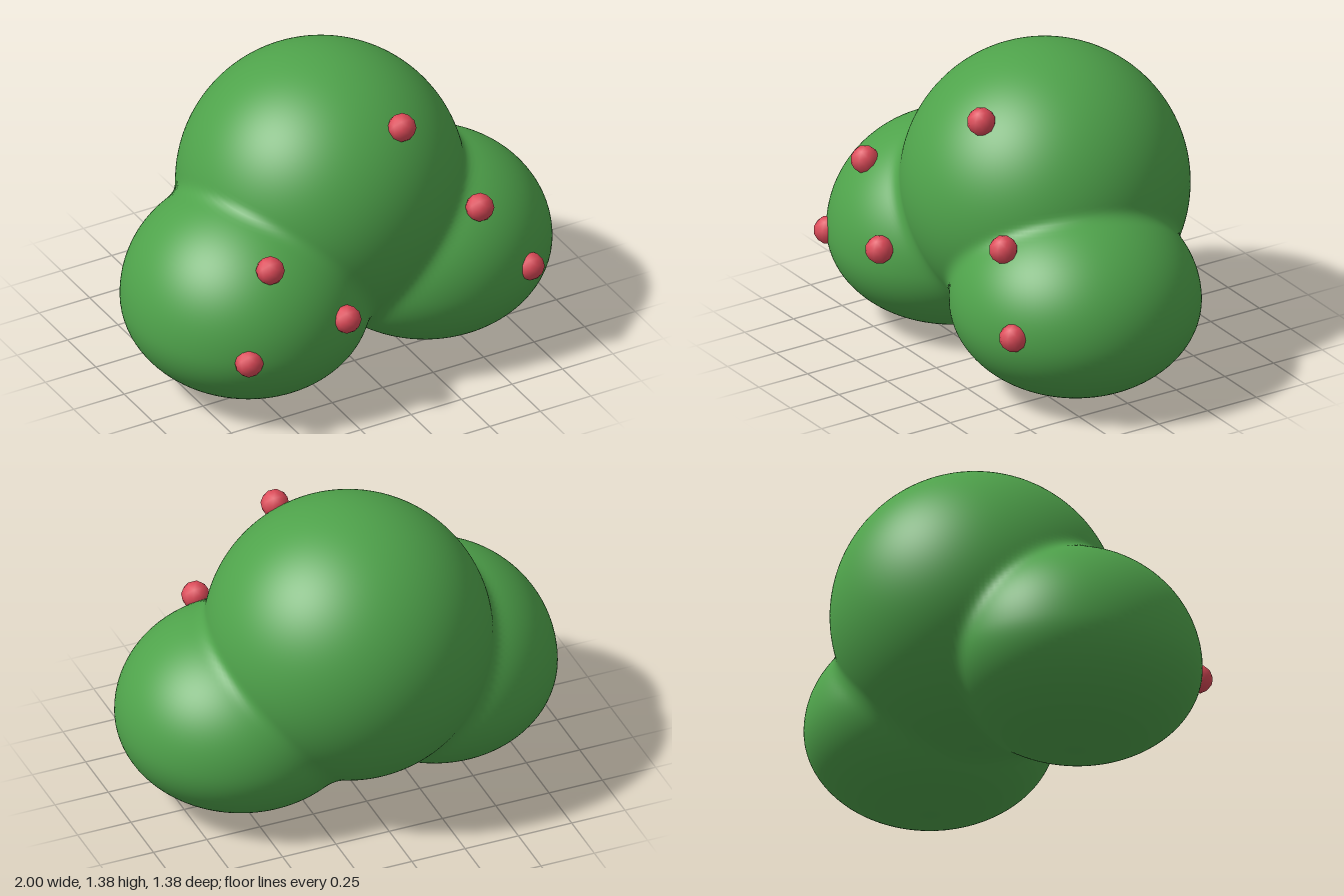
import * as THREE from 'three';
import { mergeVertices } from 'three/addons/utils/BufferGeometryUtils.js';

// Lobes: centre, radii (x, y above centre, y below centre, z)
const LOBES = [
  { c: [0.005, 0.75, -0.055], r: [0.63, 0.63, 0.63, 0.63] },
  { c: [-0.46, 0.40, 0.11], r: [0.54, 0.52, 0.40, 0.56] },
  { c: [0.45, 0.40, 0.075], r: [0.55, 0.47, 0.40, 0.545] },
];

// Rounded union of the lobes: negative inside, positive outside
function field(p) {
  const k = 0.04;
  let d = Infinity;
  for (const { c, r } of LOBES) {
    const y = p.y - c[1];
    const e = (Math.hypot((p.x - c[0]) / r[0], y / (y > 0 ? r[1] : r[2]), (p.z - c[2]) / r[3]) - 1) * 0.55;
    if (d === Infinity) { d = e; continue; }
    const h = Math.max(k - Math.abs(d - e), 0) / k;
    d = Math.min(d, e) - h * h * k * 0.25;
  }
  return d;
}

function weld(geometry) {
  geometry.deleteAttribute('uv');
  geometry.deleteAttribute('normal');
  const merged = mergeVertices(geometry, 1e-5);
  merged.computeVertexNormals();
  return merged;
}

// Push the points of a sphere outward until they meet the union surface
function foliageGeometry() {
  const geometry = new THREE.SphereGeometry(1, 192, 128);
  const origin = new THREE.Vector3(0, 0.49, 0.08);
  const pos = geometry.attributes.position;
  const dir = new THREE.Vector3(), p = new THREE.Vector3();
  for (let i = 0; i < pos.count; i++) {
    dir.fromBufferAttribute(pos, i).normalize();
    let lo = 0, hi = 2;
    for (let n = 0; n < 26; n++) {
      const mid = (lo + hi) / 2;
      p.copy(origin).addScaledVector(dir, mid);
      if (field(p) < 0) lo = mid; else hi = mid;
    }
    p.copy(origin).addScaledVector(dir, lo);
    pos.setXYZ(i, p.x, p.y, p.z);
  }
  return weld(geometry);
}

export function createModel() {
  const group = new THREE.Group();
  group.name = 'berryBush';
  const leafGreen = new THREE.MeshStandardMaterial({ color: 0x4fa34b });
  leafGreen.name = 'leafGreen';
  const berryRed = new THREE.MeshStandardMaterial({ color: 0xdc4a58 });
  berryRed.name = 'berryRed';

  // Three merged lobes
  const foliage = new THREE.Mesh(foliageGeometry(), leafGreen);
  foliage.name = 'foliage';
  group.add(foliage);

  // Berries half sunk into the front
  const berryGeometry = weld(new THREE.IcosahedronGeometry(0.063, 1));
  const berries = [
    [0.165, 1.21, 0.375], [-0.56, 0.775, 0.505], [-0.25, 0.50, 0.63],
    [-0.715, 0.40, 0.595], [0.495, 0.755, 0.475], [0.70, 0.435, 0.555],
  ];
  berries.forEach((at, i) => {
    const berry = new THREE.Mesh(berryGeometry, berryRed);
    berry.name = `berry${i + 1}`;
    berry.position.set(...at);
    group.add(berry);
  });
  return group;
}
